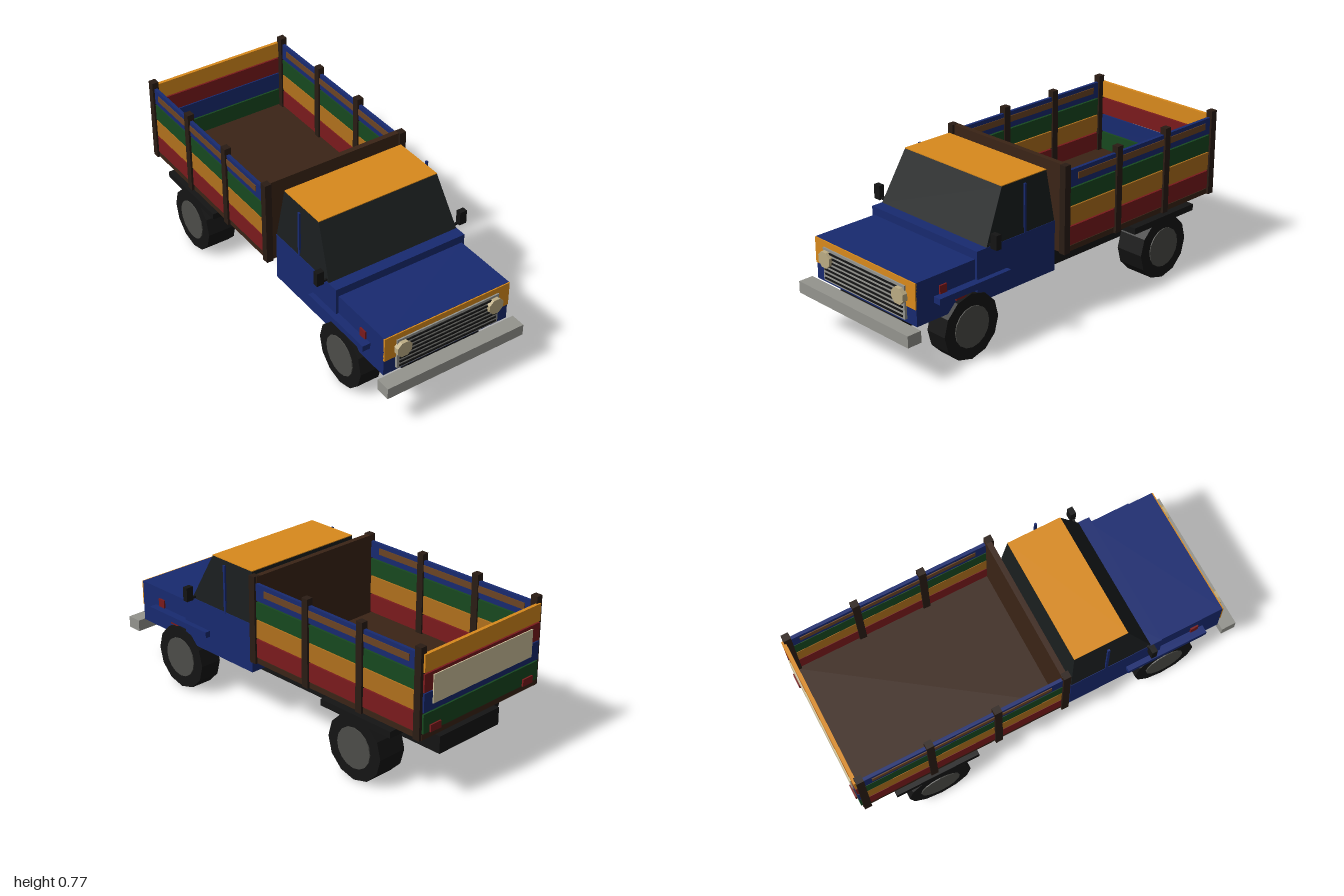
import * as THREE from 'three';

const COLORS = {
  blue: 0x182a70, orange: 0xd98a1c, red: 0x7a1a1c, green: 0x17481f, brown: 0x3a2416,
  post: 0x2a1c14, trim: 0x6b4424, black: 0x141414, glass: 0x191d1e, metal: 0x94948e,
  hub: 0x4c4c48, cream: 0xd2c6a0, lamp: 0xbcac84, yellow: 0xb0701c,
};
const mats = {};
for (const key in COLORS) {
  mats[key] = new THREE.MeshStandardMaterial({ color: COLORS[key], flatShading: true });
}

export function createModel() {
  const truck = new THREE.Group();
  truck.name = 'truck';

  const add = (name, geo, color) => {
    const mesh = new THREE.Mesh(geo, mats[color]);
    mesh.name = name;
    truck.add(mesh);
    return mesh;
  };
  // Box given by its limits on each axis
  const box = (name, color, x0, x1, y0, y1, z0, z1) => {
    const mesh = add(name, new THREE.BoxGeometry(x1 - x0, y1 - y0, z1 - z0), color);
    mesh.position.set((x0 + x1) / 2, (y0 + y1) / 2, (z0 + z1) / 2);
    return mesh;
  };
  // Box centred on x = 0
  const wide = (name, color, hx, ...limits) => box(name, color, -hx, hx, ...limits);
  // The same box on both sides
  const pair = (name, color, x0, x1, ...limits) => {
    box(name + 'Left', color, x0, x1, ...limits);
    box(name + 'Right', color, -x1, -x0, ...limits);
  };

  // Chassis and bumper
  wide('chassis', 'black', 0.195, 0.18, 0.265, -0.93, 0.905);
  wide('frontBumper', 'metal', 0.372, 0.2, 0.257, 0.925, 1.0);

  // Wheels: narrow front tyres, wide rear tyres
  for (const [end, z, outer] of [['front', 0.62, 0.357], ['rear', -0.61, 0.395]]) {
    for (const s of [1, -1]) {
      const width = outer - 0.245;
      const tyre = add(end + 'Tyre', new THREE.CylinderGeometry(0.16, 0.16, width, 12), 'black');
      tyre.rotation.set(0, 0, Math.PI / 2);
      tyre.position.set(s * (outer + 0.245) / 2, 0.16, z);
      const hub = add(end + 'Hub', new THREE.CylinderGeometry(0.1, 0.1, width + 0.01, 16), 'hub');
      hub.rotation.set(0, 0, Math.PI / 2);
      hub.position.copy(tyre.position);
    }
  }
  pair('rearMudguard', 'black', 0.245, 0.395, 0.29, 0.322, -0.825, -0.4);

  // Cab body and hood
  wide('cabBody', 'blue', 0.352, 0.258, 0.505, 0.1, 0.58);
  wide('hood', 'blue', 0.338, 0.258, 0.465, 0.58, 0.918);
  pair('frontFender', 'blue', 0.33, 0.378, 0.34, 0.37, 0.4, 0.82);
  pair('sideMarker', 'red', 0.33, 0.346, 0.372, 0.412, 0.75, 0.79);
  pair('lowerMarker', 'red', 0.33, 0.348, 0.31, 0.338, 0.64, 0.7);

  // Glasshouse: a box narrowed towards the roof
  const glass = new THREE.BoxGeometry(1, 1, 1);
  const p = glass.attributes.position;
  for (let i = 0; i < p.count; i++) {
    const top = p.getY(i) > 0, front = p.getZ(i) > 0;
    p.setXYZ(i, Math.sign(p.getX(i)) * (top ? 0.32 : 0.35), top ? 0.748 : 0.504,
      front ? (top ? 0.4 : 0.522) : (top ? 0.125 : 0.102));
  }
  glass.computeVertexNormals();
  add('cabWindows', glass, 'glass');
  wide('roof', 'orange', 0.32, 0.745, 0.752, 0.125, 0.4);
  pair('doorPillar', 'blue', 0.344, 0.353, 0.5, 0.74, 0.28, 0.292);
  pair('mirror', 'black', 0.372, 0.41, 0.508, 0.578, 0.49, 0.518);
  pair('mirrorArm', 'black', 0.34, 0.375, 0.51, 0.52, 0.499, 0.509);

  // Nose panel, grille and headlights
  wide('nosePanel', 'orange', 0.338, 0.34, 0.464, 0.915, 0.924);
  wide('grille', 'metal', 0.276, 0.275, 0.435, 0.915, 0.931);
  for (let i = 0; i < 7; i++) {
    const y = 0.289 + i * 0.0215;
    wide('grilleSlot', 'black', 0.264, y - 0.004, y + 0.004, 0.92, 0.936);
  }
  for (const s of [1, -1]) {
    const lamp = add('headlight', new THREE.CylinderGeometry(0.041, 0.041, 0.035, 8), 'lamp');
    lamp.rotation.set(Math.PI / 2, Math.PI / 8, 0);
    lamp.position.set(s * 0.249, 0.386, 0.932);
  }

  // Cargo bed: floor, headboard, slatted sides with gaps
  wide('bedFloor', 'brown', 0.375, 0.335, 0.362, -0.985, 0.06);
  wide('headboard', 'brown', 0.375, 0.335, 0.766, 0.035, 0.062);
  const slatY = [0.367, 0.465, 0.56, 0.652];
  const slatTop = [0.458, 0.555, 0.645, 0.735];
  ['red', 'yellow', 'green', 'blue'].forEach((color, i) =>
    pair('sideSlat', color, 0.362, 0.378, slatY[i], slatTop[i], -0.98, 0.05));
  pair('sideTrim', 'trim', 0.358, 0.382, 0.682, 0.714, -0.91, -0.02);
  for (const z of [0.055, -0.29, -0.625, -0.965]) {
    pair('bedPost', 'post', 0.354, 0.388, 0.335, 0.768, z - 0.018, z + 0.018);
  }

  // Tailgate
  ['green', 'blue', 'red', 'orange'].forEach((color, i) =>
    wide('tailgateSlat', color, 0.372, slatY[i], slatTop[i], -0.992, -0.975));
  wide('tailgatePanel', 'cream', 0.32, 0.495, 0.63, -0.997, -0.985);
  pair('tailLight', 'red', 0.268, 0.334, 0.366, 0.4, -1.0, -0.985);

  return truck;
}
